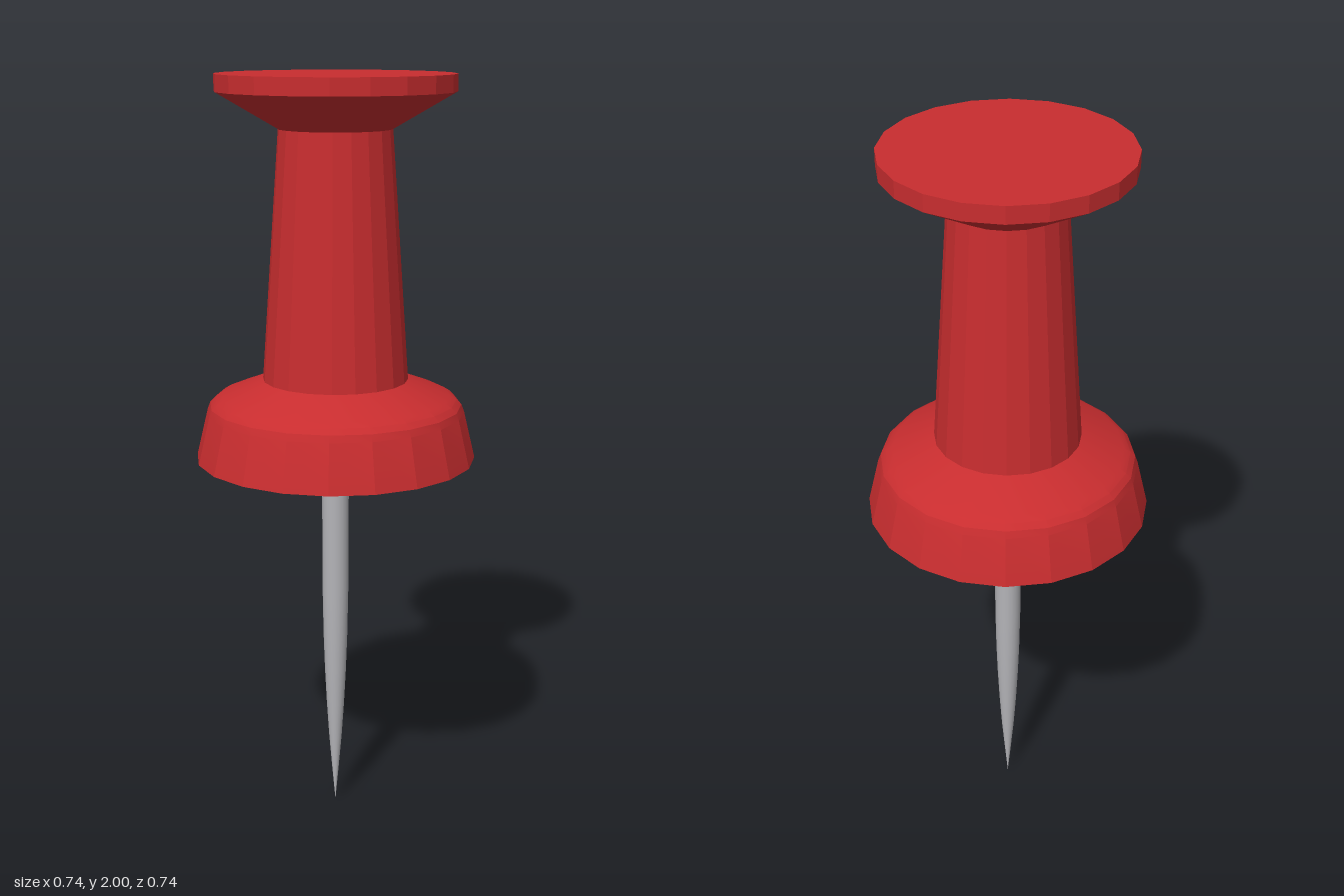
import * as THREE from 'three';
import { toCreasedNormals } from 'three/addons/utils/BufferGeometryUtils.js';

const SIDES = 20;

// Turned part from [radius, height] pairs, listed bottom to top
function lathe(profile) {
  return new THREE.LatheGeometry(profile.map(([r, y]) => new THREE.Vector2(r, y)), SIDES);
}

export function createModel() {
  const model = new THREE.Group();
  model.name = 'pushPin';

  const redPlastic = new THREE.MeshStandardMaterial({ color: 0xc82d2f });
  redPlastic.name = 'red plastic';
  const steel = new THREE.MeshStandardMaterial({ color: 0xb4b4b8 });
  steel.name = 'steel';

  const add = (name, geometry, material) => {
    const mesh = new THREE.Mesh(geometry, material);
    mesh.name = name;
    model.add(mesh);
  };

  // Facets stay crisp around the axis, gentle steps blend along the profile
  const faceted = (profile) => toCreasedNormals(lathe(profile), 0.3);

  // Flared skirt with a rounded shoulder
  add('base', faceted([
    [0, 1.015], [0.368, 1.015], [0.338, 1.14], [0.331, 1.158], [0.318, 1.172],
    [0.3, 1.183], [0.19, 1.225],
  ]), redPlastic);

  // Tapered grip
  add('grip', faceted([[0.19, 1.225], [0.145, 1.865]]), redPlastic);

  // Flared head with a flat top
  add('head', faceted([[0.145, 1.865], [0.305, 1.957], [0.305, 2], [0, 2]]), redPlastic);

  // Small collar where the needle enters the base
  add('collar', lathe([[0.037, 1], [0.037, 1.016]]), redPlastic);

  // Needle: straight above, curving in to a point
  add('needle', lathe([
    [0, 0], [0.009, 0.1], [0.0175, 0.2], [0.024, 0.3], [0.029, 0.4],
    [0.0325, 0.5], [0.035, 0.63], [0.036, 1.002],
  ]), steel);

  return model;
}
